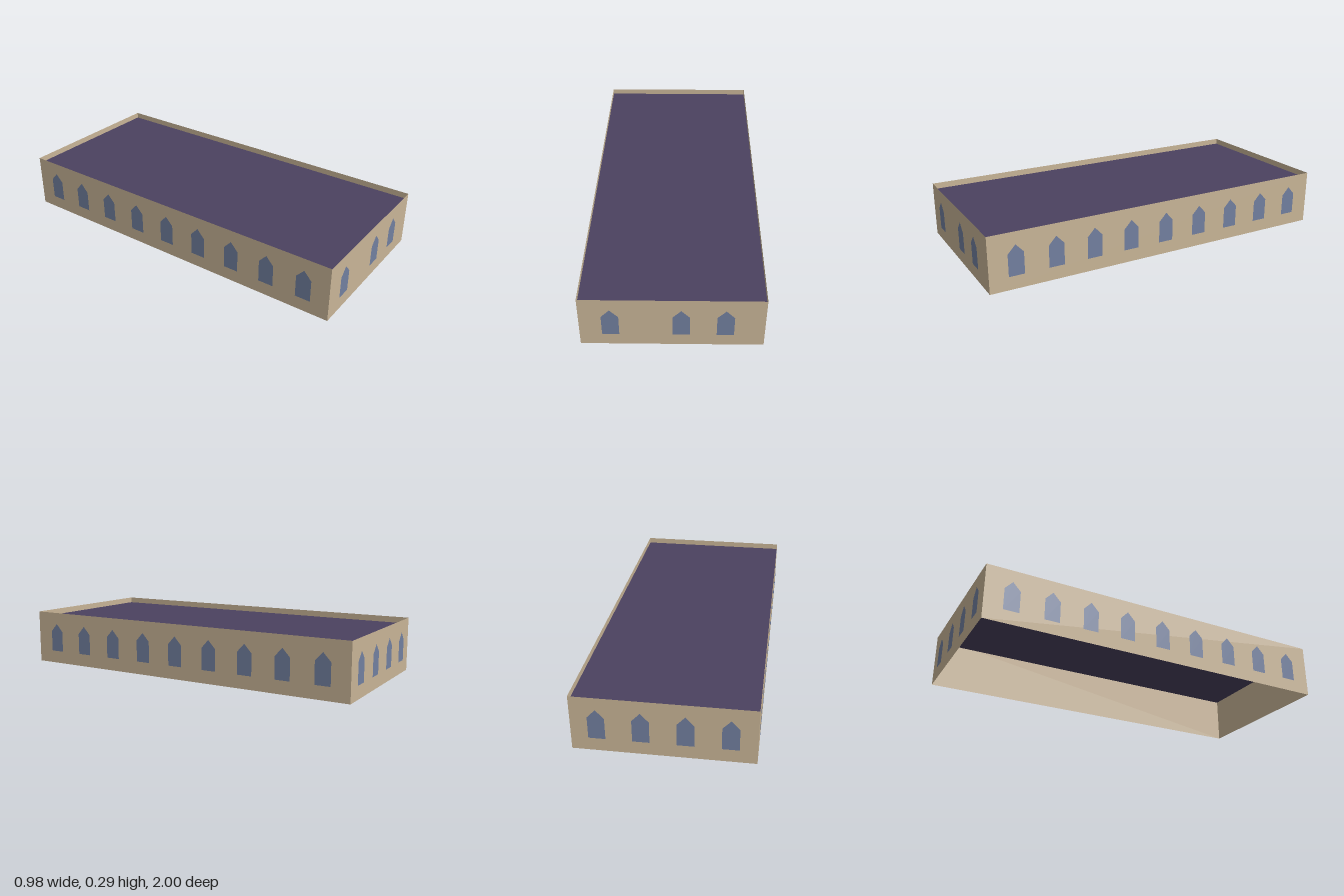
import * as THREE from 'three';

const HEIGHT = 0.295;
const ROOF_Y = 0.262;

export function createModel() {
  const stone = new THREE.MeshStandardMaterial({ color: 0xc9b597, side: THREE.DoubleSide });
  stone.name = 'sandstone';
  const glass = new THREE.MeshStandardMaterial({ color: 0x7280a0 });
  glass.name = 'blueGlass';
  const slate = new THREE.MeshStandardMaterial({ color: 0x4b4160, side: THREE.DoubleSide });
  slate.name = 'purpleRoof';

  const model = new THREE.Group();
  model.name = 'hall';

  // Plan corners, the footprint is turned slightly
  const frontLeft = new THREE.Vector2(-0.385, 1);
  const frontRight = new THREE.Vector2(0.49, 0.947);
  const backRight = frontLeft.clone().negate();
  const backLeft = frontRight.clone().negate();
  const seam = frontLeft.clone().lerp(frontRight, 0.337);

  // Pointed window outline
  const outline = new THREE.Shape([
    [-0.041, 0.07], [0.041, 0.07], [0.041, 0.186], [0, 0.23], [-0.041, 0.186],
  ].map(([x, y]) => new THREE.Vector2(x, y)));
  const windowGeometry = new THREE.ShapeGeometry(outline);

  // Wall from a to b (left to right seen from outside) with a centred row of windows
  function addWall(name, a, b, count) {
    const wall = new THREE.Group();
    wall.name = name;
    const panel = new THREE.Mesh(new THREE.PlaneGeometry(a.distanceTo(b), HEIGHT), stone);
    panel.name = name + 'Panel';
    panel.position.y = HEIGHT / 2;
    wall.add(panel);
    for (let i = 0; i < count; i++) {
      const pane = new THREE.Mesh(windowGeometry, glass);
      pane.name = name + 'Window';
      pane.position.set((i - (count - 1) / 2) * 0.209, 0, 0.002);
      wall.add(pane);
    }
    wall.position.set((a.x + b.x) / 2, 0, (a.y + b.y) / 2);
    wall.rotation.y = Math.atan2(a.y - b.y, b.x - a.x);
    model.add(wall);
  }

  addWall('frontWallShort', frontLeft, seam, 1);
  addWall('frontWallLong', seam, frontRight, 2);
  addWall('sideWallPlusX', frontRight, backRight, 9);
  addWall('backWall', backRight, backLeft, 4);
  addWall('sideWallMinusX', backLeft, frontLeft, 9);

  // Flat roof sunk below the parapet; shape y becomes -z
  const plan = [frontLeft, frontRight, backRight, backLeft].map((p) => new THREE.Vector2(p.x, -p.y));
  const roof = new THREE.Mesh(new THREE.ShapeGeometry(new THREE.Shape(plan)), slate);
  roof.name = 'roof';
  roof.rotation.x = -Math.PI / 2;
  roof.position.y = ROOF_Y;
  model.add(roof);

  return model;
}
